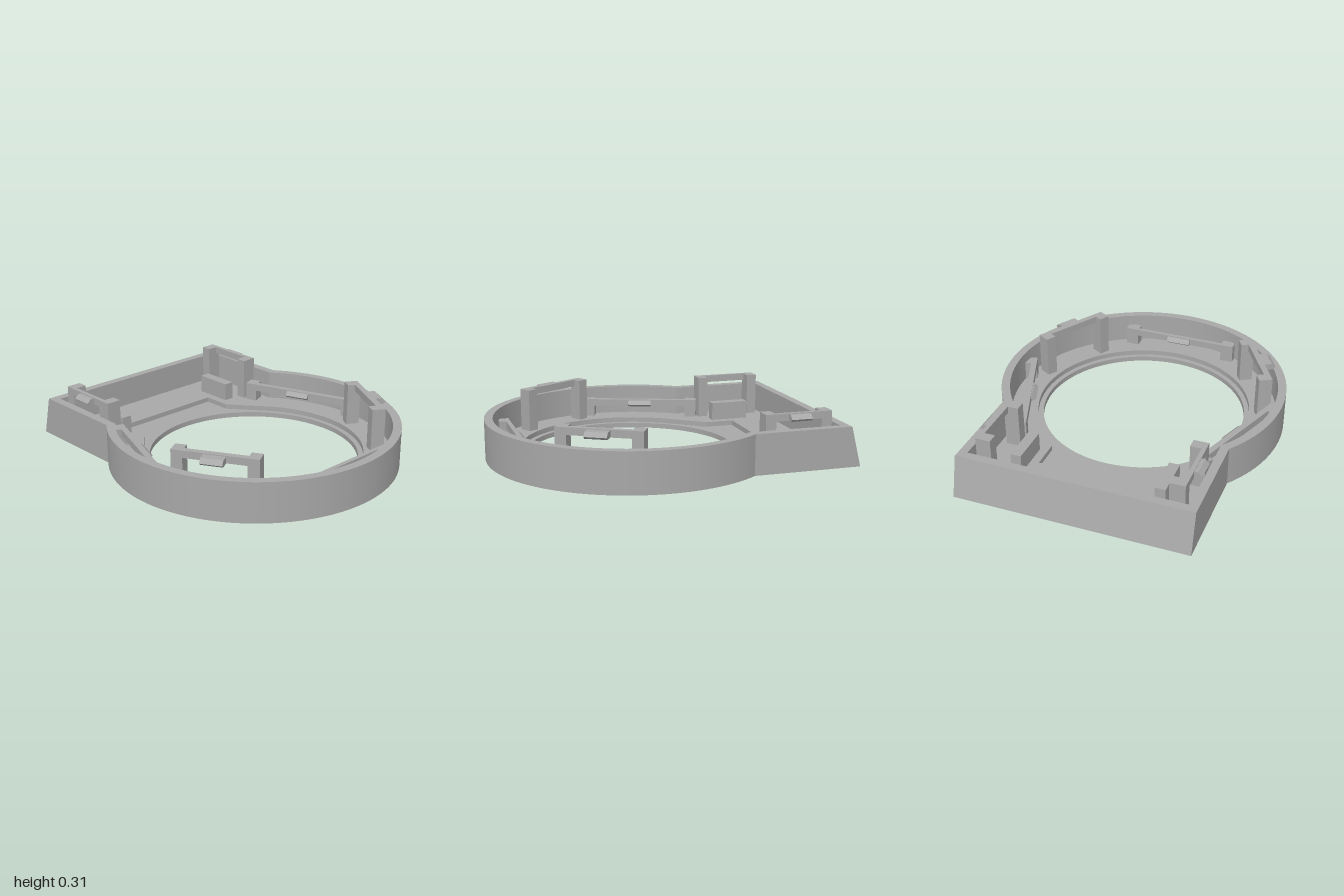
import * as THREE from 'three';
import { toCreasedNormals } from 'three/addons/utils/BufferGeometryUtils.js';

const CZ = 0.15;      // centre of the round part
const HEIGHT = 0.235; // rim height
const FLOOR = 0.06;

export function createModel() {
  const grey = new THREE.MeshStandardMaterial({ color: 0xa8a8a8 });
  grey.name = 'grey plastic';
  const model = new THREE.Group();
  model.name = 'bezelFrame';

  const add = (parent, geometry, name) => {
    const mesh = new THREE.Mesh(geometry, grey);
    mesh.name = name;
    parent.add(mesh);
    return mesh;
  };

  // Keyhole outline: a circle joined to a rectangle at the back (shape y = -z)
  const keyhole = (r, halfWidth, back, a = Math.acos(halfWidth / r), shoulder = null) => {
    const s = new THREE.Shape();
    s.absarc(0, -CZ, r, Math.PI - a, 2 * Math.PI + a, false);
    if (shoulder) s.lineTo(halfWidth, shoulder);
    s.lineTo(halfWidth, back);
    s.lineTo(-halfWidth, back);
    if (shoulder) s.lineTo(-halfWidth, shoulder);
    return s;
  };

  // One horizontal layer of the body, with the back face leaning forward
  const layer = (y0, y1, hole, name) => {
    const outline = keyhole(0.85, 0.68, 1);
    outline.holes.push(hole);
    const g = new THREE.ExtrudeGeometry(outline, { depth: y1 - y0, bevelEnabled: false, curveSegments: 96 });
    g.rotateX(-Math.PI / 2).translate(0, y0, 0);
    const p = g.attributes.position;
    for (let i = 0; i < p.count; i++) {
      if (p.getZ(i) < -0.99) p.setZ(i, -1 + 0.06 * p.getY(i) / HEIGHT);
    }
    add(model, toCreasedNormals(g, 0.5), name);
  };

  const opening = new THREE.Path();
  opening.absarc(0, -CZ, 0.61, 0, Math.PI * 2, false);
  layer(0, 0.03, opening, 'basePlate');
  layer(0.03, FLOOR, keyhole(0.64, 0.34, 0.625, 0.67, 0.45), 'raisedFloor');
  layer(FLOOR, HEIGHT, keyhole(0.8, 0.63, 0.89), 'outerWall');

  // Snap clip: two posts, a bridge bar and a wedge hook pointing along local +z
  const clip = (name, x, z, angle, { length, post, depth, top, out, hook = 0.125, bar = 0.025 }) => {
    const g = new THREE.Group();
    g.name = name;
    g.position.set(x, 0, z);
    g.rotation.y = angle;
    const base = FLOOR - 0.01;
    for (const side of [-1, 1]) {
      add(g, new THREE.BoxGeometry(post, top - base, depth), 'clipPost')
        .position.set(side * (length - post) / 2, (top + base) / 2, -depth / 2);
    }
    add(g, new THREE.BoxGeometry(length - 2 * post, 0.042, bar), 'clipBar')
      .position.set(0, top - 0.021, -bar / 2);

    // Profile drawn in (-z, y), then turned so it runs along local x
    const s = new THREE.Shape([
      [0, top - 0.042], [0, top - 0.005], [-(out - 0.025), top - 0.005],
      [-out, top - 0.028], [-(out - 0.018), top - 0.042],
    ].map(([u, v]) => new THREE.Vector2(u, v)));
    const wedge = new THREE.ExtrudeGeometry(s, { depth: hook, bevelEnabled: false });
    wedge.translate(0, 0, -hook / 2).rotateY(Math.PI / 2);
    add(g, wedge, 'clipHook');
    model.add(g);
  };

  for (const m of [-1, 1]) {
    // Tall clips beside the rear bay
    clip('rearClip', m * 0.595, -0.655, m * Math.PI / 2,
      { length: 0.4, post: 0.062, depth: 0.088, top: 0.315, out: 0.045 });
    // Tall clips on the front quarters
    clip('frontQuarterClip', m * 0.63, 0.5, m * Math.PI / 3,
      { length: 0.485, post: 0.065, depth: 0.08, top: 0.315, out: 0.072, bar: 0.035 });
    // Long low clips whose hooks face the opening
    clip('longSideClip', m * 0.631, -0.09, -m * 1.222,
      { length: 0.73, post: 0.07, depth: 0.075, top: 0.17, out: 0.03, hook: 0.145, bar: 0.035 });
    // Upright ribs on the rear floor
    add(model, new THREE.BoxGeometry(0.062, 0.12, 0.235), 'rearRib')
      .position.set(m * 0.42, 0.11, -0.625);
  }

  // Low clip on the front wall
  clip('frontClip', 0, 0.813, Math.PI,
    { length: 0.73, post: 0.08, depth: 0.065, top: 0.17, out: 0.03, hook: 0.15 });

  return model;
}
